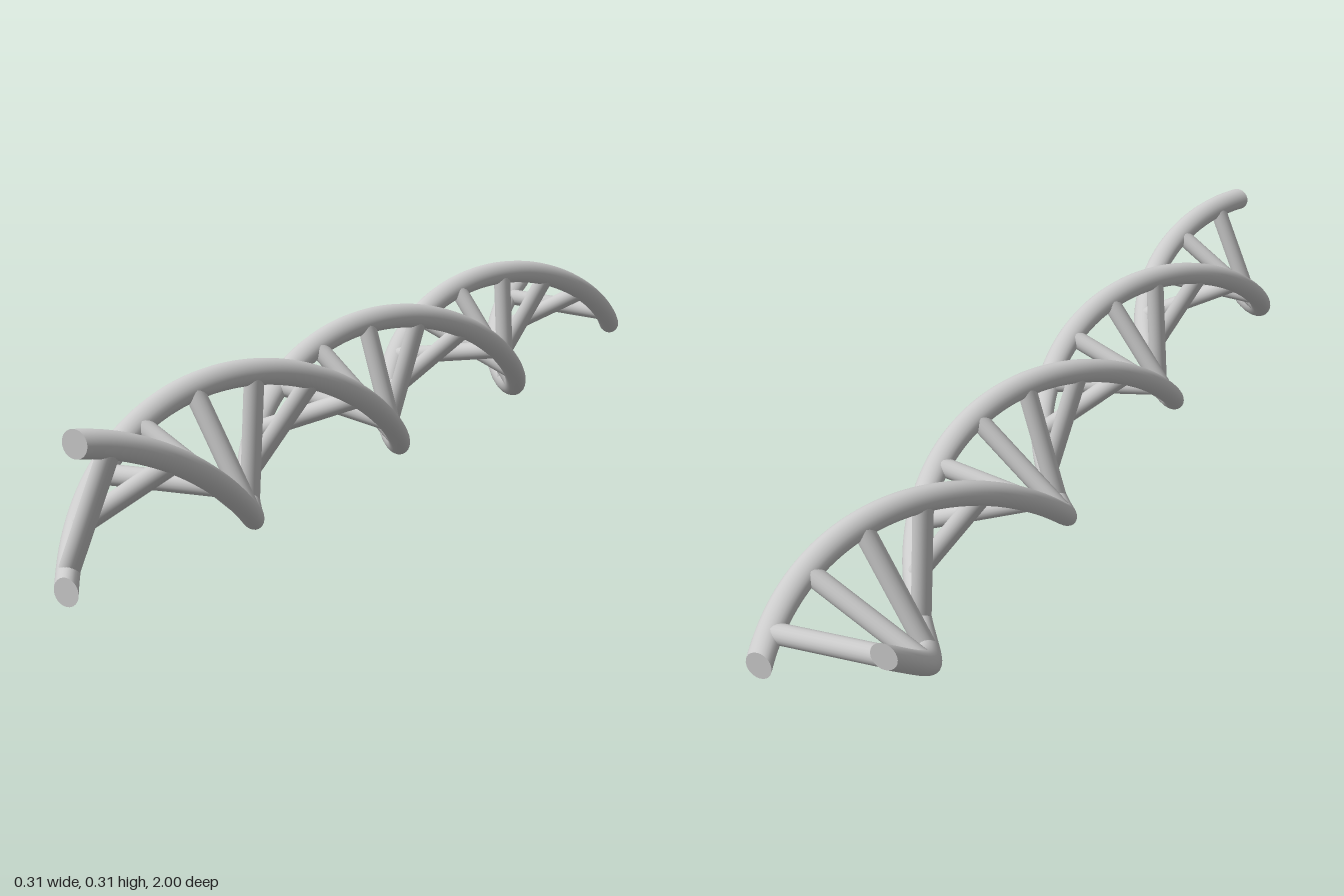
import * as THREE from 'three';

const RADIUS = 0.129;      // strand centre line from the axis
const TUBE = 0.0255;       // strand thickness
const RUNG = 0.019;        // rung thickness
const AXIS_Y = 0.1555;     // height of the helix axis
const TWIST = Math.PI / 0.56; // radians per unit along z
const START = 1.02;        // z where the first strand is straight up

const angleAt = (z) => (START - z) * TWIST;

// A straight cylinder along z whose round cross-sections slide along the helix
function strandGeometry(phase) {
  const geo = new THREE.CylinderGeometry(TUBE, TUBE, 2, 24, 200).rotateX(Math.PI / 2);
  const pos = geo.attributes.position;
  const nor = geo.attributes.normal;
  const n = new THREE.Vector3();
  for (let i = 0; i < pos.count; i++) {
    const z = pos.getZ(i);
    const a = angleAt(z) + phase;
    pos.setXY(i, pos.getX(i) + RADIUS * Math.sin(a), pos.getY(i) + RADIUS * Math.cos(a));
    n.fromBufferAttribute(nor, i);
    if (Math.abs(n.z) < 0.5) {
      // lean the side normals with the slope of the helix
      n.z = RADIUS * TWIST * (n.x * Math.cos(a) - n.y * Math.sin(a));
      n.normalize();
      nor.setXYZ(i, n.x, n.y, n.z);
    }
  }
  return geo;
}

export function createModel() {
  const model = new THREE.Group();
  model.name = 'doubleHelix';
  const material = new THREE.MeshStandardMaterial({ color: 0xcccccc });

  // Two opposite strands
  ['firstStrand', 'secondStrand'].forEach((name, i) => {
    const strand = new THREE.Mesh(strandGeometry(i * Math.PI), material);
    strand.name = name;
    strand.position.y = AXIS_Y;
    model.add(strand);
  });

  // Rungs joining the strands, turning with them
  const rungs = new THREE.Group();
  rungs.name = 'rungs';
  const rungGeo = new THREE.CylinderGeometry(RUNG, RUNG, RADIUS * 2, 20);
  for (let i = 0; i < 20; i++) {
    const rung = new THREE.Mesh(rungGeo, material);
    rung.name = `rung${i + 1}`;
    const z = 0.95 - i * 0.1;
    rung.position.set(0, AXIS_Y, z);
    rung.rotation.z = -angleAt(z);
    rungs.add(rung);
  }
  model.add(rungs);
  return model;
}
